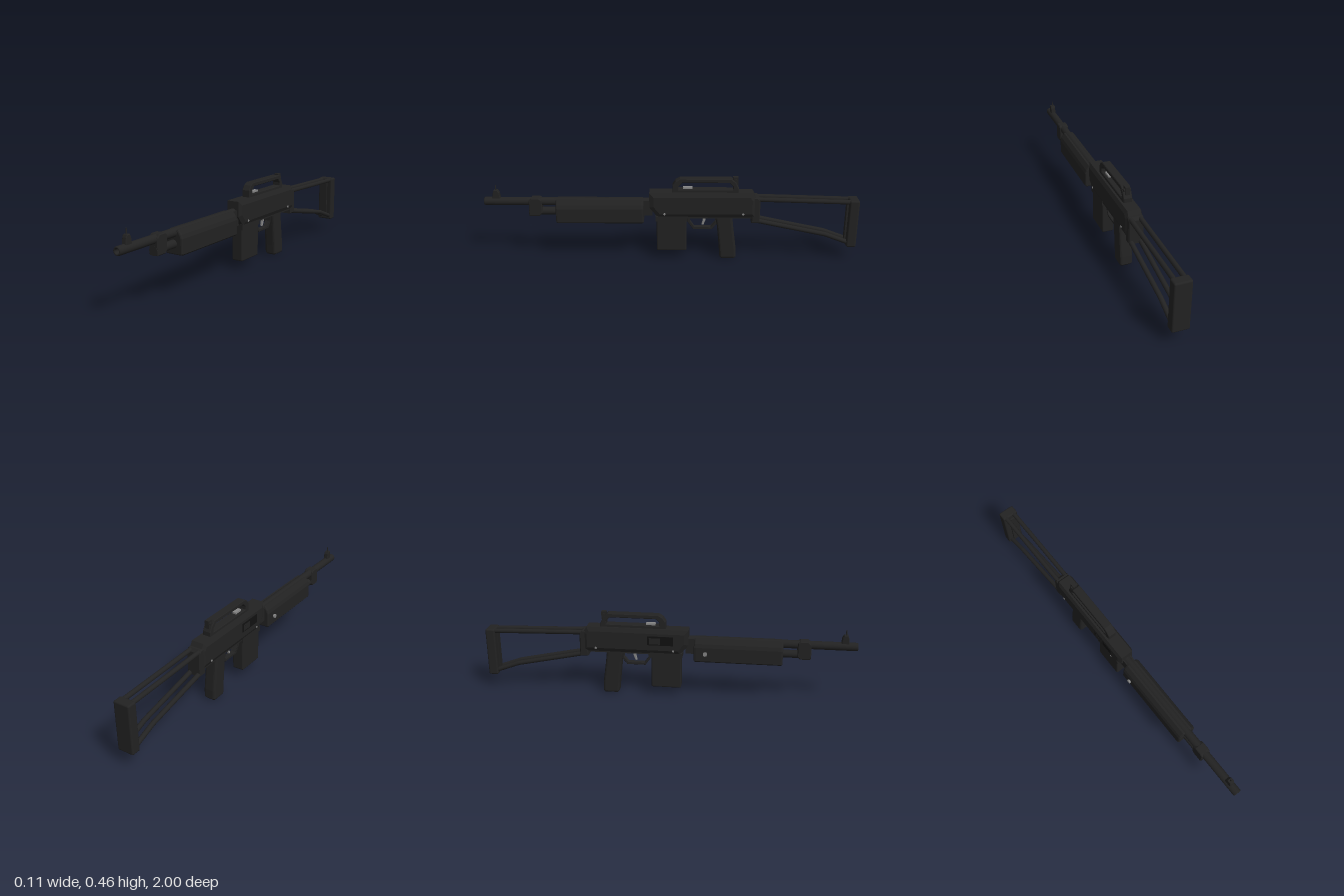
import * as THREE from 'three';
import { RoundedBoxGeometry } from 'three/addons/geometries/RoundedBoxGeometry.js';

const mat = (name, color) => Object.assign(new THREE.MeshStandardMaterial({ color }), { name });

export function createModel() {
  const model = new THREE.Group();
  model.name = 'propLongarm';
  const body = mat('black body', 0x222222);
  const dark = mat('dark recess', 0x111111);
  const steel = mat('bare steel', 0x858585);

  const add = (name, geo, material = body, x = 0, y = 0, z = 0) => {
    const m = new THREE.Mesh(geo, material);
    m.name = name;
    m.position.set(x, y, z);
    model.add(m);
    return m;
  };
  const box = (name, w, h, d, x, y, z, material = body) =>
    add(name, new THREE.BoxGeometry(w, h, d), material, x, y, z);
  const rounded = (name, w, h, d, y, z, r) =>
    add(name, new RoundedBoxGeometry(w, h, d, 3, r), body, 0, y, z);
  const shapeOf = pts => new THREE.Shape(pts.map(p => new THREE.Vector2(...p)));

  // Side outline given as [z, y], extruded across x with a bevel
  const side = (name, pts, width, bevelX, bevelY, hole, segments = 1, material = body) => {
    const s = shapeOf(pts);
    if (hole) s.holes.push(new THREE.Path(hole.map(p => new THREE.Vector2(...p))));
    const depth = width - 2 * bevelX;
    const g = new THREE.ExtrudeGeometry(s, {
      depth, bevelEnabled: bevelX > 0, bevelThickness: bevelX,
      bevelSize: bevelY, bevelOffset: -bevelY, bevelSegments: segments,
    });
    g.translate(0, 0, -depth / 2).rotateY(-Math.PI / 2);
    return add(name, g, material);
  };
  // Cylinder along z
  const rod = (name, r, z0, z1, y, material = body) =>
    add(name, new THREE.CylinderGeometry(r, r, z1 - z0, 24).rotateX(Math.PI / 2),
      material, 0, y, (z0 + z1) / 2);
  // Cylinder along x
  const pin = (name, r, len, x, y, z, material = steel) =>
    add(name, new THREE.CylinderGeometry(r, r, len, 16).rotateZ(Math.PI / 2), material, x, y, z);
  // Tube through straight segments
  const pipe = (name, pts, r, material = body) => {
    const path = new THREE.CurvePath();
    const v = pts.map(p => new THREE.Vector3(...p));
    for (let i = 1; i < v.length; i++) path.add(new THREE.LineCurve3(v[i - 1], v[i]));
    return add(name, new THREE.TubeGeometry(path, 48, r, 12), material);
  };

  // Barrel with an open bore, and the tube beneath it
  const barrel = [[0, 0.9], [0.012, 0.9], [0.012, 0.997], [0.015, 1], [0.019, 1], [0.022, 0.995], [0.022, 0.1]]
    .map(p => new THREE.Vector2(...p)).reverse();
  add('barrel', new THREE.LatheGeometry(barrel, 28).rotateX(Math.PI / 2), body, 0, 0.322, 0)
    .material.side = THREE.DoubleSide;
  rod('boreEnd', 0.0125, 0.895, 0.903, 0.322, dark);
  rod('lowerTube', 0.021, 0.1, 0.755, 0.267);
  rod('lowerTubeCap', 0.024, 0.745, 0.762, 0.267);

  // Bracket joining barrel and tube
  side('barrelBracket', [[0.76, 0.245], [0.705, 0.245], [0.69, 0.262], [0.69, 0.335], [0.705, 0.345], [0.745, 0.345], [0.76, 0.33]],
    0.053, 0.004, 0.004);

  // Front sight
  side('frontSightBase', [[0.955, 0.335], [0.912, 0.335], [0.917, 0.372], [0.925, 0.385], [0.945, 0.385], [0.95, 0.372]], 0.026, 0.003, 0.003);
  add('frontSightPost', new THREE.CylinderGeometry(0.0025, 0.004, 0.03, 10), body, 0, 0.397, 0.935);

  // Fore-end
  const fore = shapeOf([[-0.044, 0.213], [0.044, 0.213], [0.05, 0.22], [0.05, 0.295], [0.043, 0.315],
    [0.026, 0.338], [-0.026, 0.338], [-0.043, 0.315], [-0.05, 0.295], [-0.05, 0.22]]);
  add('foreEnd', new THREE.ExtrudeGeometry(fore, {
    depth: 0.45, bevelThickness: 0.01, bevelSize: 0.007, bevelOffset: -0.007, bevelSegments: 2,
  }), body, 0, 0, 0.155);
  pin('foreEndButton', 0.011, 0.012, -0.054, 0.262, 0.206);
  add('foreEndScrew', new THREE.CylinderGeometry(0.006, 0.006, 0.01, 12), body, 0, 0.211, 0.375);
  box('foreEndCollar', 0.05, 0.085, 0.05, 0, 0.293, 0.125);

  // Receiver
  side('receiver', [[0.115, 0.383], [0.115, 0.3], [0.07, 0.245], [-0.455, 0.245], [-0.455, 0.35], [-0.435, 0.383]],
    0.09, 0.011, 0.022);
  box('receiverFloor', 0.07, 0.02, 0.49, 0, 0.25, -0.19);
  side('stockMount', [[-0.43, 0.36], [-0.43, 0.215], [-0.475, 0.215], [-0.475, 0.345], [-0.46, 0.36]], 0.078, 0.005, 0.005);
  for (const s of [-1, 1]) {
    pin('receiverPinFront', 0.006, 0.004, s * 0.0455, 0.268, 0.035);
    pin('receiverPinRear', 0.006, 0.004, s * 0.0455, 0.268, -0.385);
  }

  // Right-hand port and lever
  box('portRecess', 0.003, 0.05, 0.14, -0.0455, 0.322, -0.035, dark);
  box('portCover', 0.004, 0.035, 0.06, -0.0455, 0.32, -0.065);
  add('sideLever', new THREE.ConeGeometry(0.009, 0.012, 4).rotateZ(Math.PI / 2), body, -0.047, 0.333, -0.08);

  // Carrying handle and rear sight
  side('carryHandle', [[-0.008, 0.375], [-0.008, 0.42], [-0.025, 0.445], [-0.048, 0.458], [-0.32, 0.458],
    [-0.345, 0.435], [-0.36, 0.405], [-0.36, 0.375]], 0.046, 0.003, 0.003,
  [[-0.04, 0.398], [-0.04, 0.415], [-0.06, 0.436], [-0.31, 0.436], [-0.33, 0.415], [-0.33, 0.398]]);
  box('cockingTab', 0.022, 0.012, 0.05, 0, 0.402, -0.09, steel);
  box('rearSight', 0.024, 0.042, 0.028, 0, 0.443, -0.342);
  for (const s of [-1, 1]) pin('rearSightKnob', 0.008, 0.008, s * 0.015, 0.446, -0.342, body);

  // Box-shaped lower housing
  rounded('lowerBox', 0.066, 0.2, 0.162, 0.148, -0.004, 0.008);
  box('lowerBoxCollar', 0.074, 0.03, 0.172, 0, 0.237, -0.004);

  // Grip
  side('grip', [[-0.235, 0.255], [-0.248, 0.19], [-0.262, 0.06], [-0.266, 0.01], [-0.275, 0.001], [-0.345, 0.001],
    [-0.355, 0.012], [-0.353, 0.06], [-0.338, 0.17], [-0.328, 0.255]], 0.068, 0.014, 0.012, null, 3);

  // Guard and lever
  side('triggerGuard', [[-0.09, 0.25], [-0.09, 0.21], [-0.12, 0.168], [-0.22, 0.168], [-0.25, 0.205], [-0.25, 0.25]],
    0.03, 0.002, 0.002, [[-0.1, 0.24], [-0.1, 0.213], [-0.125, 0.178], [-0.215, 0.178], [-0.24, 0.208], [-0.24, 0.24]]);
  side('trigger', [[-0.165, 0.25], [-0.172, 0.22], [-0.165, 0.192], [-0.175, 0.19], [-0.187, 0.22], [-0.19, 0.25]],
    0.014, 0.002, 0.002, null, 1, steel);

  // Skeleton stock
  for (const s of [-1, 1]) {
    const x = s * 0.025;
    pipe('upperStockRod', [[x, 0.347, -0.45], [x, 0.333, -0.96]], 0.0125);
    pipe('lowerStockRod', [[x, 0.225, -0.46], [x, 0.148, -0.83], [x, 0.098, -0.965]], 0.0125);
  }
  rounded('buttPlate', 0.09, 0.267, 0.052, 0.212, -0.974, 0.009);
  box('buttPlateRib', 0.03, 0.2, 0.012, 0, 0.215, -0.945);

  model.children.forEach(m => { m.position.x += 0.003; });
  return model;
}
